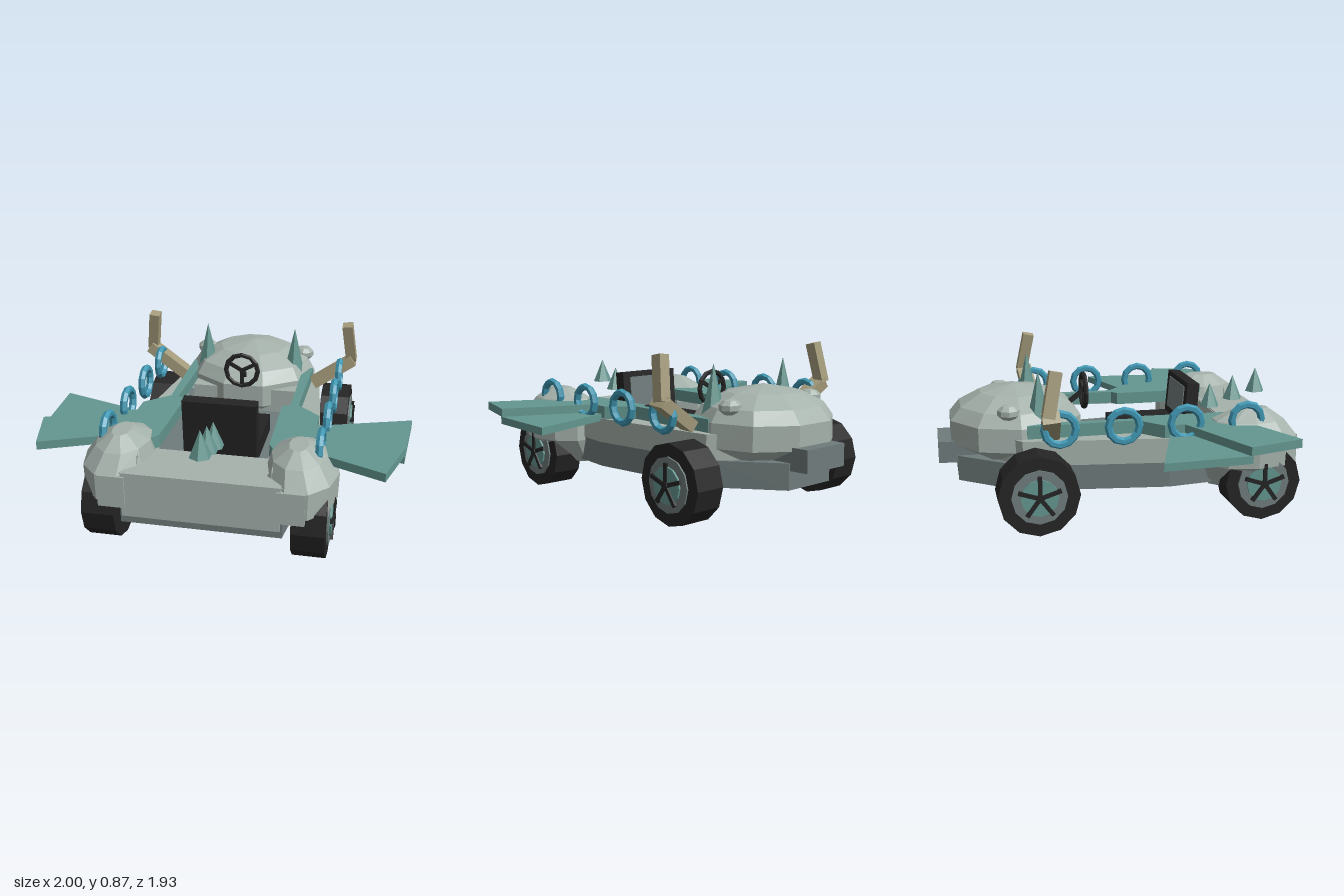
import * as THREE from 'three';

const mat = (name, color) => {
  const m = new THREE.MeshStandardMaterial({ color, flatShading: true });
  m.name = name;
  return m;
};

export function createModel() {
  const light = mat('light grey', 0xa6b2ac), grey = mat('dark grey', 0x6f7b7b);
  const teal = mat('teal', 0x64968f), blue = mat('blue', 0x3f97b2);
  const tan = mat('tan', 0xa59c7c), black = mat('black', 0x242424);
  const root = new THREE.Group();
  root.name = 'kart';

  const add = (name, geo, material, x = 0, y = 0, z = 0, parent = root) => {
    const m = new THREE.Mesh(geo, material);
    m.name = name;
    m.position.set(x, y, z);
    parent.add(m);
    return m;
  };
  const box = (w, h, d) => new THREE.BoxGeometry(w, h, d);
  const points = (pts, s = 1) => pts.map(([x, z]) => new THREE.Vector2(x * s, z));
  const symmetric = pts => [...pts, ...pts.map(([x, z]) => [-x, z]).reverse()];

  // Horizontal slab from an outline of [x, z] points
  const slab = (pts, y0, y1, s = 1, hole) => {
    const shape = new THREE.Shape(points(pts, s));
    if (hole) shape.holes.push(new THREE.Path(points(hole)));
    return new THREE.ExtrudeGeometry(shape, { depth: y1 - y0, bevelEnabled: false })
      .rotateX(Math.PI / 2).translate(0, y1, 0);
  };

  // Closed loft through elliptical rings [y, cx, cz, rx, rz], bottom to top
  const loft = (rings, n = 10, s = 1) => {
    const pos = [], idx = [];
    for (const [y, cx, cz, rx, rz] of rings)
      for (let i = 0; i < n; i++) {
        const a = i / n * Math.PI * 2;
        pos.push(cx * s + Math.cos(a) * rx, y, cz + Math.sin(a) * rz);
      }
    const top = (rings.length - 1) * n, c = rings.length * n;
    for (const r of [rings[0], rings[rings.length - 1]]) pos.push(r[1] * s, r[0], r[2]);
    for (let i = 0; i < n; i++) {
      const k = (i + 1) % n;
      for (let j = 0; j < top; j += n) idx.push(j + i, j + n + i, j + k, j + k, j + n + i, j + n + k);
      idx.push(c, i, k, c + 1, top + k, top + i);
    }
    const g = new THREE.BufferGeometry();
    g.setAttribute('position', new THREE.Float32BufferAttribute(pos, 3));
    g.setIndex(idx);
    g.computeVertexNormals();
    return g;
  };

  // Beam between two points
  const beam = (name, a, b, w, d, material, parent = root) => {
    const A = new THREE.Vector3(...a), B = new THREE.Vector3(...b);
    const m = add(name, box(w, A.distanceTo(B), d), material, 0, 0, 0, parent);
    m.position.copy(A).add(B).multiplyScalar(0.5);
    m.quaternion.setFromUnitVectors(new THREE.Vector3(0, 1, 0), B.sub(A).normalize());
    return m;
  };

  // Hull, shell with open cockpit, nose and tail
  const hull = symmetric([[0.41, 0.945], [0.5, 0.25], [0.41, -0.53], [0.16, -0.86]]);
  add('lowerHull', slab(hull, 0.18, 0.32), grey);
  const shell = symmetric([[0.41, 0.94], [0.51, 0.25], [0.42, -0.53], [0.2, -0.7]]);
  const cockpit = symmetric([[0.29, 0.65], [0.3, 0.1], [0.33, -0.2]]);
  add('upperShell', slab(shell, 0.32, 0.455, 1, cockpit), light);
  add('nose', box(0.8, 0.24, 0.3), light, 0, 0.34, 0.805);
  add('dashboard', box(0.62, 0.14, 0.12), light, 0, 0.41, -0.26);
  add('tail', slab(symmetric([[0.16, -0.75], [0.145, -0.965]]), 0.28, 0.4), grey);

  // Rear dome
  add('dome', loft([
    [0.28, 0, -0.5, 0.28, 0.22], [0.38, 0, -0.53, 0.39, 0.38], [0.51, 0, -0.53, 0.385, 0.38],
    [0.58, 0, -0.53, 0.34, 0.32], [0.645, 0, -0.53, 0.21, 0.2], [0.68, 0, -0.53, 0.02, 0.02],
  ]), light);

  // Seat, facing the dome
  add('seatCushion', box(0.4, 0.1, 0.42), black, 0, 0.38, 0.25);
  const back = add('seatBack', box(0.4, 0.32, 0.07), black, 0, 0.515, 0.455);
  back.rotation.x = 0.08;
  add('seatPanel', box(0.3, 0.18, 0.008), grey, 0, 0.04, -0.036, back);

  // Steering wheel
  const steering = new THREE.Group();
  steering.name = 'steeringWheel';
  steering.position.set(0, 0.62, -0.13);
  root.add(steering);
  add('steeringRim', new THREE.TorusGeometry(0.095, 0.014, 6, 12), black, 0, 0, 0, steering);
  for (const a of [0.5, Math.PI - 0.5, -Math.PI / 2])
    beam('steeringSpoke', [0, 0, 0], [Math.cos(a) * 0.09, Math.sin(a) * 0.09, 0], 0.02, 0.015, black, steering);
  beam('steeringColumn', [0, 0, 0], [0, -0.09, -0.12], 0.025, 0.025, black, steering);

  // Row of spikes along the nose
  for (let i = 0; i < 3; i++)
    add('noseSpike', new THREE.ConeGeometry(0.058, 0.14, 6), teal, 0, 0.56 + i * 0.04, 0.63 + i * 0.14);

  // Wheel with its outer face on local +x
  const wheel = (name, s, z, r) => {
    const g = new THREE.Group();
    g.name = name;
    g.position.set(s * 0.535, r, z);
    g.rotation.y = s < 0 ? Math.PI : 0;
    root.add(g);
    const disc = (n, rad, w, m, x, sides = 12) =>
      add(n, new THREE.CylinderGeometry(rad, rad, w, sides).rotateZ(-Math.PI / 2), m, x, 0, 0, g);
    disc('tyre', r, 0.17, black, 0);
    disc('rim', r * 0.68, 0.02, grey, 0.084);
    disc('hub', r * 0.46, 0.02, teal, 0.095);
    disc('hubCap', 0.022, 0.03, black, 0.103, 8);
    for (let i = 0; i < 5; i++) {
      const a = i * Math.PI * 0.4;
      beam('spoke', [0.106, 0, 0], [0.106, Math.cos(a) * r * 0.54, Math.sin(a) * r * 0.54], 0.015, 0.022, black, g);
    }
  };

  for (const s of [1, -1]) {
    wheel('frontWheel', s, 0.74, 0.21);
    wheel('rearWheel', s, -0.47, 0.215);

    // Front fender with a small horn
    add('fender', loft([
      [0.16, 0.42, 0.58, 0.06, 0.09], [0.3, 0.475, 0.7, 0.18, 0.27], [0.44, 0.475, 0.7, 0.185, 0.27],
      [0.53, 0.455, 0.7, 0.14, 0.2], [0.59, 0.455, 0.72, 0.05, 0.09],
    ], 10, s), light);
    add('fenderFront', box(0.14, 0.17, 0.1), light, s * 0.45, 0.355, 0.915);
    add('fenderHorn', new THREE.ConeGeometry(0.03, 0.07, 4), light, s * 0.34, 0.48, 0.84);

    // Side rail and wing blades
    add('sideRail', slab([[0.32, -0.5], [0.38, -0.5], [0.37, 0.1], [0.5, 0.22], [0.5, 0.5],
      [0.32, 0.68], [0.29, 0.62], [0.28, 0.13], [0.325, 0.1]], 0.455, 0.525, s), teal);
    add('rearWingBlade', slab([[0.35, 0.27], [0.5, 0.25], [1, 0.08], [0.97, 0.54], [0.45, 0.4]], 0.44, 0.48, s), teal);
    add('frontWingBlade', slab([[0.42, 0.3], [0.52, 0.34], [0.97, 0.53], [0.885, 0.83], [0.5, 0.66]], 0.48, 0.525, s), teal);

    // Rings floating along the side
    for (let i = 0; i < 4; i++)
      add('sideRing', new THREE.TorusGeometry(0.083, 0.021, 6, 12).rotateY(Math.PI / 2), blue,
        s * 0.555, 0.55, 0.655 - i * 0.335);

    // Knob and horn on the dome
    add('domeKnob', new THREE.SphereGeometry(0.063, 8, 5).scale(1, 0.7, 1), light, s * 0.31, 0.59, -0.59);
    add('domeHorn', new THREE.ConeGeometry(0.065, 0.27, 6), teal, s * 0.27, 0.665, -0.425);

    // Jointed arm
    beam('lowerArm', [s * 0.4, 0.48, -0.38], [s * 0.63, 0.635, -0.405], 0.065, 0.09, tan);
    beam('upperArm', [s * 0.62, 0.63, -0.42], [s * 0.59, 0.86, -0.375], 0.06, 0.065, tan);
  }
  return root;
}
